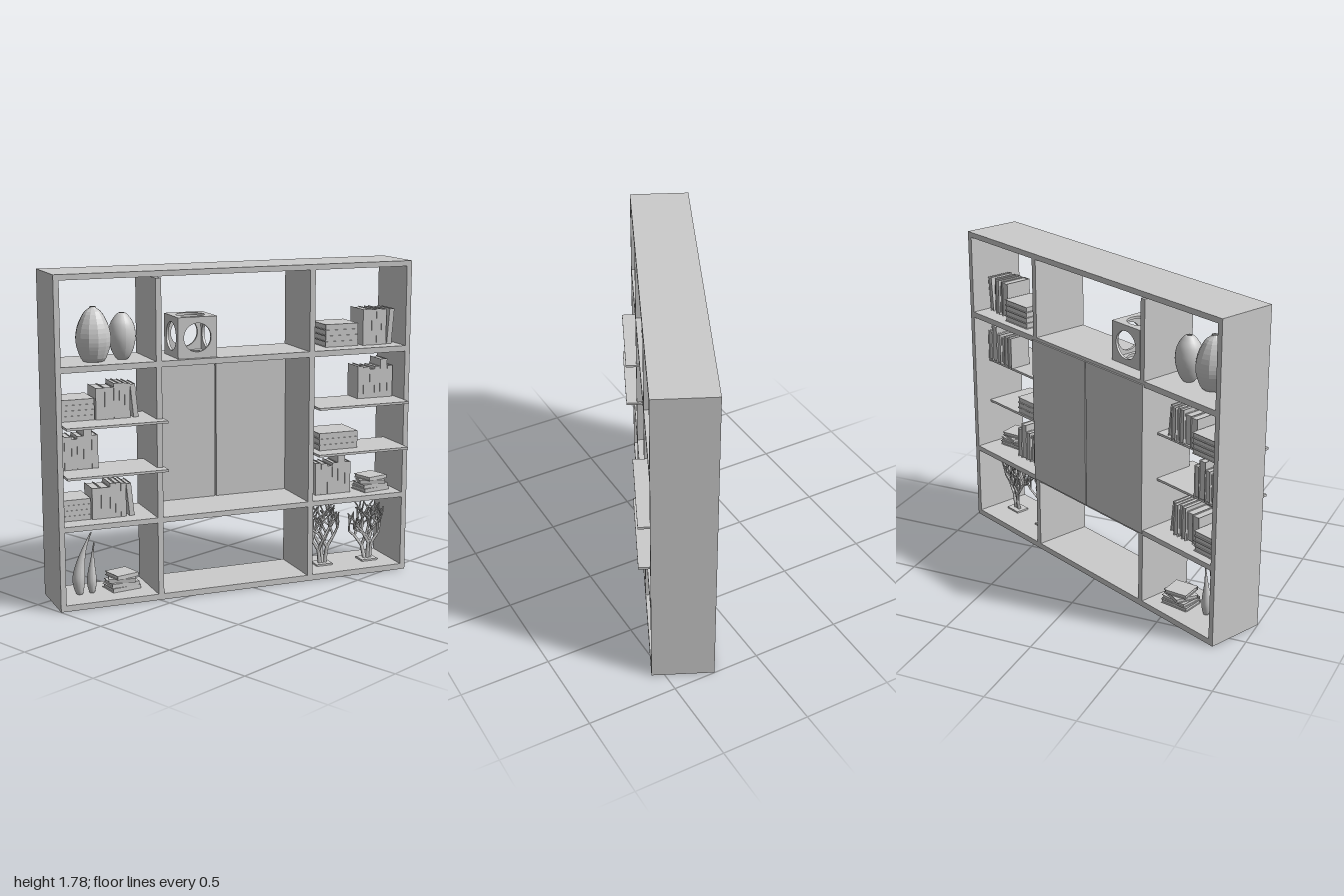
import * as THREE from 'three';

const grey = new THREE.MeshStandardMaterial({ color: 0xcccccc, side: THREE.DoubleSide });
const faceted = new THREE.MeshStandardMaterial({ color: 0xcccccc, side: THREE.DoubleSide, flatShading: true });

// Local frame: x along the case, z towards its open front
const HALF = 1.025, FRONT = 0.1675, HEIGHT = 1.783;

function seeded(seed) {
  return () => (seed = (seed * 16807) % 2147483647) / 2147483647;
}

function add(parent, name, geometry, material = grey) {
  const mesh = new THREE.Mesh(geometry, material);
  mesh.name = name;
  parent.add(mesh);
  return mesh;
}

// Box given by its limits on each axis
function slab(parent, name, x0, x1, y0, y1, z0, z1) {
  const mesh = add(parent, name, new THREE.BoxGeometry(x1 - x0, y1 - y0, z1 - z0));
  mesh.position.set((x0 + x1) / 2, (y0 + y1) / 2, (z0 + z1) / 2);
  return mesh;
}

function group(parent, name, x = 0, y = 0, z = 0) {
  const g = new THREE.Group();
  g.name = name;
  g.position.set(x, y, z);
  parent.add(g);
  return g;
}

// Upright book centred on its middle: two covers, a spine at the front, recessed pages
function book(parent, t, h, d) {
  const g = group(parent, 'book'), c = 0.003;
  slab(g, 'cover', -t / 2, -t / 2 + c, -h / 2, h / 2, -d / 2, d / 2);
  slab(g, 'cover', t / 2 - c, t / 2, -h / 2, h / 2, -d / 2, d / 2);
  slab(g, 'spine', -t / 2 + c, t / 2 - c, -h / 2, h / 2, d / 2 - c, d / 2);
  slab(g, 'pages', -t / 2 + c, t / 2 - c, -h / 2 + 0.005, h / 2 - 0.005, -d / 2 + 0.005, d / 2 - c);
  return g;
}

// Lying books, piled up
function pile(parent, x, y, z, count, t, length, depth, twist = 0) {
  const g = group(parent, 'bookPile', x, y, z);
  for (let i = 0; i < count; i++) {
    const b = book(g, t * 0.97, length - (twist ? i * 0.012 : 0), depth);
    b.position.y = (i + 0.5) * t;
    b.rotation.set(0, twist * Math.sin(i * 2.3 + 0.6), Math.PI / 2);
  }
}

// Standing books from x0 rightwards; sizes are [thickness, height, depth], front edges at z
function row(parent, x0, y, z, sizes, lean = 0) {
  const g = group(parent, 'bookRow', x0, y, z);
  let x = 0;
  sizes.forEach(([t, h, d], i) => {
    const b = book(g, t * 0.97, h, d);
    const tilt = i === sizes.length - 1 ? lean : 0;
    if (tilt > 0) x += 0.004;
    if (tilt < 0) x += h * Math.sin(-tilt);
    b.position.set(x + t / 2 + h / 2 * Math.sin(tilt), h / 2 * Math.cos(tilt) + t / 2 * Math.abs(Math.sin(tilt)), -d / 2);
    b.rotation.z = -tilt;
    x += t;
  });
}

// Turned vase from [radius, height] points, optionally bent sideways towards the top
function vase(parent, name, x, y, z, points, sides, material, bend = 0) {
  const curve = new THREE.SplineCurve(points.map(p => new THREE.Vector2(...p)));
  const geo = new THREE.LatheGeometry(curve.getPoints(20), sides);
  const pos = geo.attributes.position, top = points[points.length - 1][1];
  for (let i = 0; i < pos.count; i++) {
    const k = pos.getY(i) / top;
    pos.setX(i, pos.getX(i) + bend * (k * k * 1.6 - k * 0.6));
  }
  geo.computeVertexNormals();
  add(parent, name, geo, material).position.set(x, y, z);
}

// Hollow cube with a round opening in every wall
function openCube(parent, x, y, z, size, radius) {
  const g = group(parent, 'openCube', x, y + size / 2, z), h = size / 2, t = 0.014;
  const shape = new THREE.Shape([[-h, -h], [h, -h], [h, h], [-h, h]].map(p => new THREE.Vector2(...p)));
  shape.holes.push(new THREE.Path().absarc(0, 0, radius, 0, Math.PI * 2, true));
  const wall = new THREE.ExtrudeGeometry(shape, { depth: t, bevelEnabled: false, curveSegments: 24 });
  wall.translate(0, 0, h - t);
  for (let i = 0; i < 4; i++) add(g, 'cubeWall', wall).rotation.y = i * Math.PI / 2;
  for (const s of [-1, 1]) add(g, 'cubeWall', wall).rotation.x = s * Math.PI / 2;
}

// Branching coral on a small plinth
function coral(parent, x, y, z, seed) {
  const g = group(parent, 'coral', x, y, z), rand = seeded(seed);
  slab(g, 'coralBase', -0.05, 0.05, 0, 0.01, -0.04, 0.04);
  const up = new THREE.Vector3(0, 1, 0);
  const limb = (from, angle, length, radius, level) => {
    const dir = new THREE.Vector3(Math.sin(angle), Math.cos(angle), (rand() - 0.5) * 0.7).normalize();
    const to = from.clone().addScaledVector(dir, length);
    to.x = THREE.MathUtils.clamp(to.x, -0.092, 0.092);
    to.y = Math.min(to.y, 0.36);
    const span = to.clone().sub(from);
    const m = add(g, 'branch', new THREE.CylinderGeometry(radius * 0.8, radius, span.length() + radius * 0.5, 6));
    m.position.copy(from).add(to).multiplyScalar(0.5);
    m.quaternion.setFromUnitVectors(up, span.normalize());
    if (level === 0) return;
    const spread = 0.45 + rand() * 0.35;
    limb(to, angle * 0.45 - spread, length * (0.75 + rand() * 0.25), radius * 0.8, level - 1);
    limb(to, angle * 0.45 + spread * 0.8, length * (0.75 + rand() * 0.25), radius * 0.8, level - 1);
  };
  for (const [dx, a] of [[-0.014, -0.35], [0.002, 0.05], [0.016, 0.35]])
    limb(new THREE.Vector3(dx, 0.005, 0), a * 0.4, 0.08 + rand() * 0.02, 0.012, 4);
}

export function createModel() {
  const root = new THREE.Group();
  root.name = 'bookcase';
  const unit = group(root, 'unit', -0.025, 0, 0);
  unit.rotation.y = THREE.MathUtils.degToRad(64.8);

  // Outer frame and full-width boards
  const frame = group(unit, 'frame');
  const inner = HALF - 0.03;
  for (const s of [-1, 1])
    slab(frame, 'sidePanel', s < 0 ? -HALF : inner, s < 0 ? -inner : HALF, 0, HEIGHT, -FRONT, FRONT);
  for (const [name, y0, y1] of [['bottomBoard', 0, 0.033], ['lowerBoard', 0.432, 0.461], ['upperBoard', 1.276, 1.308], ['topBoard', 1.753, HEIGHT]])
    slab(frame, name, -inner, inner, y0, y1, -FRONT, FRONT);

  // Dividers between the boards
  for (const [x, tops] of [[-0.48, 1.745], [0.405, 1.753]])
    for (const [y0, y1] of [[0.033, 0.432], [0.461, 1.276], [1.308, tops]])
      slab(frame, 'divider', x, x + 0.031, y0, y1, -FRONT, FRONT);

  // Projecting shelves in both outer bays
  for (const x of [-0.99, 0.443])
    for (const y of [0.724, 0.987])
      slab(unit, 'projectingShelf', x, x + 0.552, y, y + 0.013, -0.07, 0.228);

  // Back doors of the middle bay
  slab(unit, 'leftBackDoor', -0.48, -0.026, 0.445, 1.29, -0.177, -0.155);
  slab(unit, 'rightBackDoor', -0.018, 0.436, 0.445, 1.29, -0.177, -0.155);

  // Top row ornaments
  vase(unit, 'largeVase', -0.78, 1.308, 0.03,
    [[0, 0], [0.055, 0.001], [0.085, 0.06], [0.096, 0.12], [0.083, 0.19], [0.05, 0.255], [0.02, 0.28], [0.016, 0.289]], 12, faceted);
  vase(unit, 'smallVase', -0.617, 1.308, 0.014,
    [[0, 0], [0.03, 0.001], [0.058, 0.05], [0.073, 0.12], [0.062, 0.19], [0.03, 0.237], [0.014, 0.247]], 24, grey);
  openCube(unit, -0.238, 1.308, 0.03, 0.22, 0.077);

  // Books: pile beside a standing row
  const standing = [[0.05, 0.17, 0.15], [0.05, 0.17, 0.14], [0.03, 0.19, 0.15], [0.03, 0.19, 0.14], [0.03, 0.185, 0.15], [0.028, 0.18, 0.13]];
  for (const [y, shift] of [[1.0, 0], [0.461, -0.03]]) {
    pile(unit, -0.885 + shift, y, -0.03, 4, 0.029, 0.19, 0.18);
    row(unit, -0.785 + shift, y, 0.07, standing, -0.1);
  }
  pile(unit, 0.65, 1.308, -0.03, 4, 0.032, 0.2, 0.19);
  row(unit, 0.775, 1.308, 0.075, [[0.055, 0.203, 0.16], [0.03, 0.2, 0.15], [0.03, 0.203, 0.16], [0.032, 0.2, 0.14], [0.03, 0.2, 0.15]], 0.08);

  // Books: rows of uneven height
  const uneven = [[0.035, 0.185, 0.13], [0.04, 0.18, 0.125], [0.03, 0.165, 0.12], [0.035, 0.18, 0.13], [0.045, 0.22, 0.13], [0.035, 0.18, 0.13]];
  row(unit, -0.99, 0.737, 0.05, uneven);
  row(unit, 0.762, 1.0, 0.05, uneven);
  row(unit, 0.503, 0.461, 0.053, uneven);

  // Books: separate piles
  pile(unit, 0.606, 0.737, 0.03, 3, 0.033, 0.236, 0.2);
  pile(unit, 0.862, 0.461, 0.03, 4, 0.022, 0.17, 0.13, 0.3);
  pile(unit, -0.63, 0.033, -0.02, 4, 0.023, 0.17, 0.13, 0.3);

  // Slender vases and corals on the bottom row
  vase(unit, 'tallBentVase', -0.875, 0.033, 0,
    [[0, 0], [0.018, 0.001], [0.031, 0.05], [0.034, 0.1], [0.023, 0.18], [0.011, 0.26], [0.004, 0.338]], 20, grey, 0.07);
  vase(unit, 'slimVase', -0.805, 0.033, 0,
    [[0, 0], [0.014, 0.001], [0.026, 0.05], [0.024, 0.1], [0.013, 0.17], [0.007, 0.22], [0.003, 0.28]], 20, grey, 0.015);
  coral(unit, 0.575, 0.033, 0, 12);
  coral(unit, 0.86, 0.033, 0.01, 77);

  return root;
}
